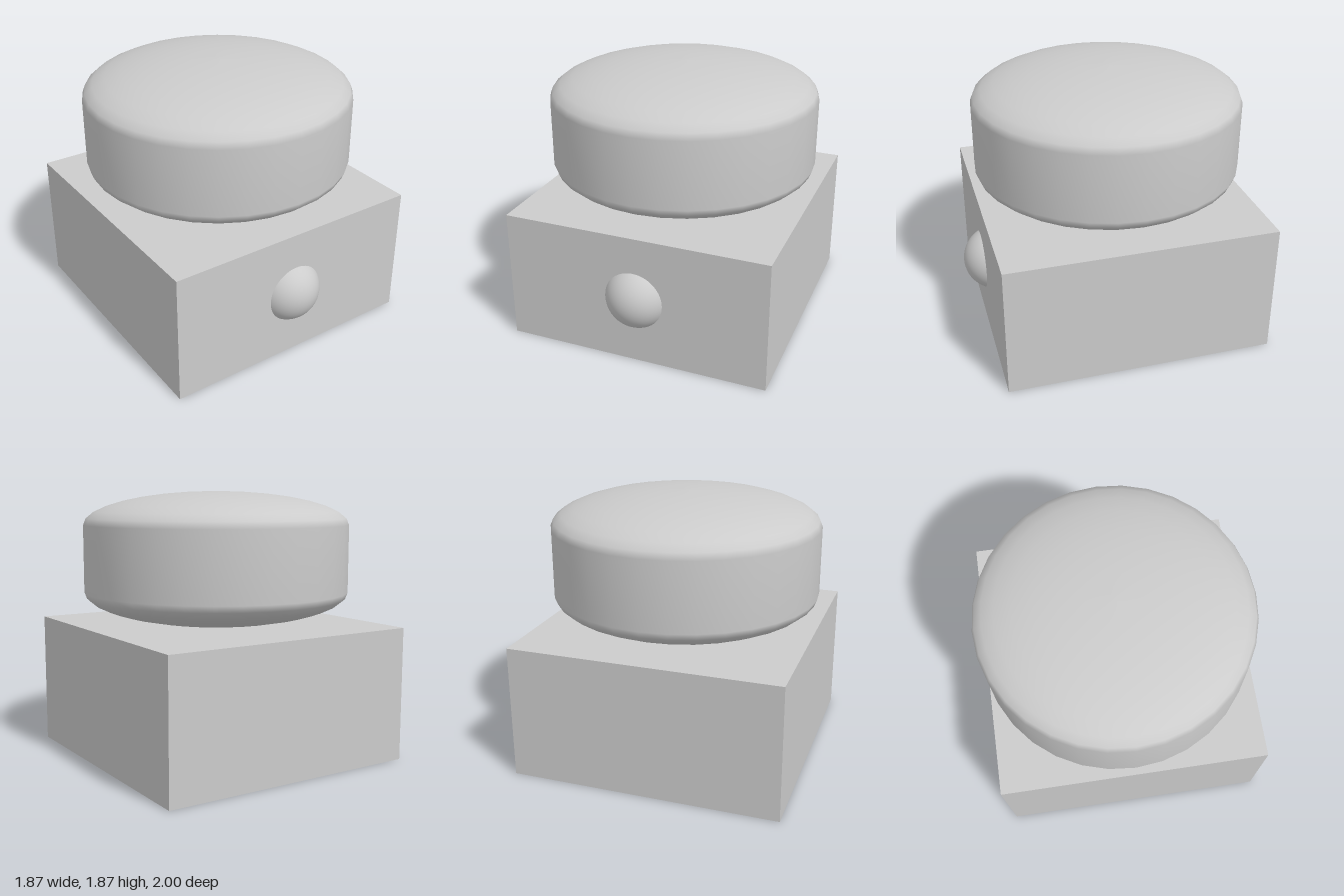
import * as THREE from 'three';

export function createModel() {
  const group = new THREE.Group();
  const material = new THREE.MeshStandardMaterial({ color: 0xcccccc });
  const half = 0.935;
  const centreZ = -0.065;

  const add = (name, geometry, x, y, z) => {
    const mesh = new THREE.Mesh(geometry, material);
    mesh.name = name;
    mesh.position.set(x, y, z);
    group.add(mesh);
    return mesh;
  };

  // Square base block
  add('base', new THREE.BoxGeometry(2 * half, half, 2 * half), 0, half / 2, centreZ);

  // Large round push button: straight wall with flattened dome above and below
  const capHeight = half / 4;
  const capSteps = 8;
  const profile = [];
  for (const side of [-1, 1]) {
    for (let i = 0; i <= capSteps; i++) {
      const t = (side < 0 ? i : capSteps - i) / capSteps;
      const a = (t * Math.PI) / 2;
      profile.push(new THREE.Vector2(
        t === 0 ? 0 : half * Math.sin(a),
        side * capHeight * (1 + Math.cos(a))
      ));
    }
  }
  add('button', new THREE.LatheGeometry(profile, 32), 0, half * 1.5, centreZ);

  // Small indicator ball set into the front face
  add('indicator', new THREE.SphereGeometry(0.23, 48, 32), 0, 0.47, 0.77);

  return group;
}
